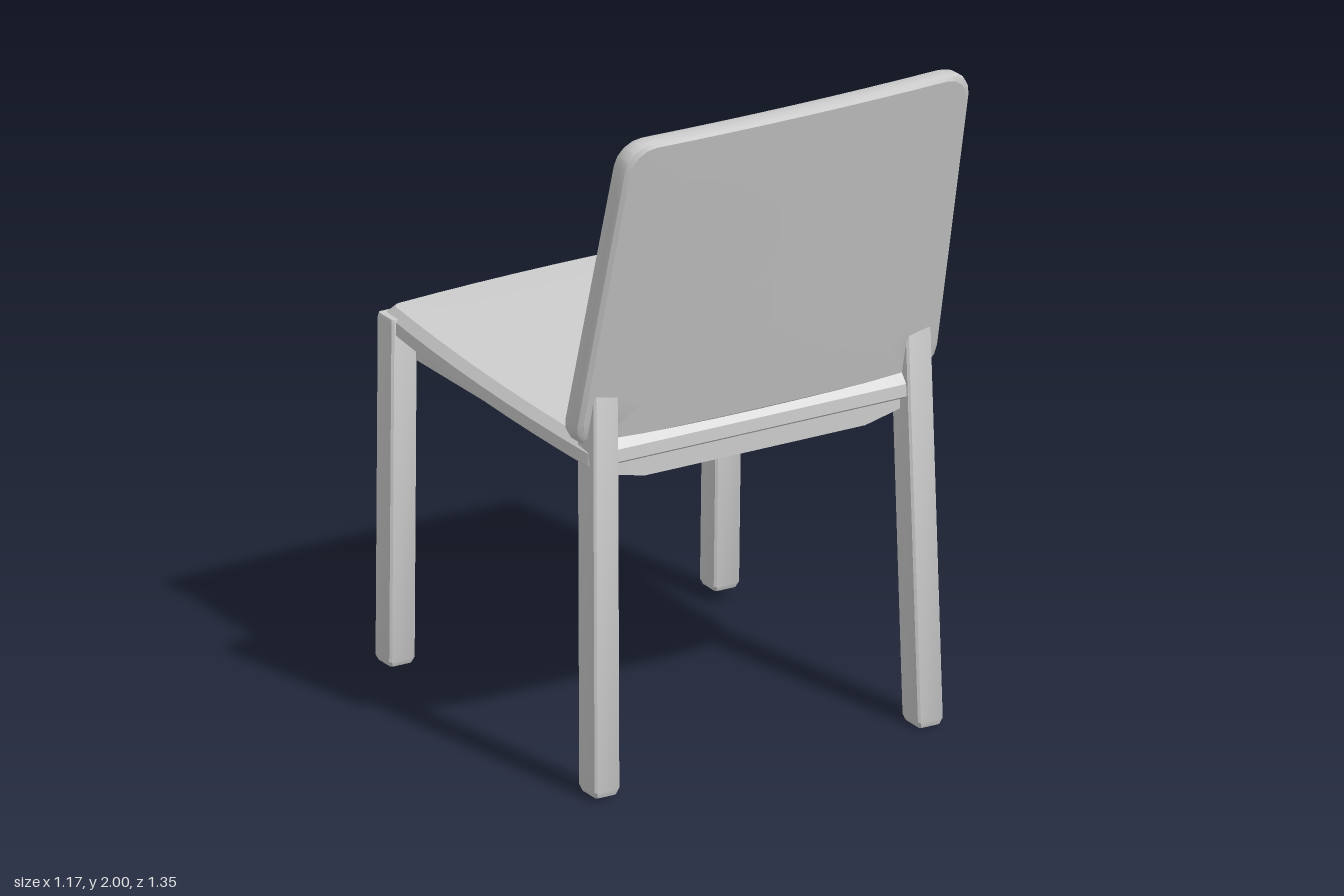
import * as THREE from 'three';
import { toCreasedNormals } from 'three/addons/utils/BufferGeometryUtils.js';

const material = new THREE.MeshStandardMaterial({ color: 0xcccccc });

// Counter-clockwise rounded rectangle with extra points along each side.
function outline(hw, hh, r, arc = 4, side = 8) {
  const points = [];
  const corners = [[1, 1], [-1, 1], [-1, -1], [1, -1]];
  corners.forEach(([sx, sy], c) => {
    for (let i = 0; i <= arc; i++) {
      const t = (c + i / arc) * Math.PI / 2;
      points.push([sx * (hw - r) + r * Math.cos(t), sy * (hh - r) + r * Math.sin(t)]);
    }
    const [ex, ey] = points[points.length - 1];
    const [nx, ny] = corners[(c + 1) % 4];
    const t = (c + 1) * Math.PI / 2;
    const bx = nx * (hw - r) + r * Math.cos(t), by = ny * (hh - r) + r * Math.sin(t);
    for (let i = 1; i < side; i++) {
      points.push([ex + (bx - ex) * i / side, ey + (by - ey) * i / side]);
    }
  });
  return points;
}

// Closed solid from scaled copies of an outline: rings are [scale, height],
// listed from the bottom centre to the top centre, placed by warp(a, b, h).
function ringSolid(name, points, rings, warp, crease = 0.45) {
  const n = points.length, positions = [], index = [];
  for (const [s, h] of rings) {
    for (const [a, b] of points) positions.push(...warp(a * s, b * s, h));
  }
  for (let k = 0; k < rings.length - 1; k++) {
    for (let i = 0; i < n; i++) {
      const a = k * n + i, b = k * n + (i + 1) % n, c = b + n, d = a + n;
      if (rings[k][0] > 0) index.push(a, b, c);
      if (rings[k + 1][0] > 0) index.push(a, c, d);
    }
  }
  const geometry = new THREE.BufferGeometry();
  geometry.setAttribute('position', new THREE.Float32BufferAttribute(positions, 3));
  geometry.setIndex(index);
  const mesh = new THREE.Mesh(toCreasedNormals(geometry, crease), material);
  mesh.name = name;
  return mesh;
}

// Leaning square leg with softened edges, from bottom to top centre.
function leg(name, width, depth, bottom, top) {
  const rings = [[0, 0], [0.84, 0], [1, 0.015], [1, 0.99], [0.94, 1], [0, 1]];
  return ringSolid(name, outline(width / 2, depth / 2, 0.006, 1, 1), rings, (a, b, t) => [
    a + bottom[0] + (top[0] - bottom[0]) * t,
    bottom[1] + (top[1] - bottom[1]) * t,
    -b + bottom[2] + (top[2] - bottom[2]) * t,
  ]);
}

// Height of the seat's underside, rising gently towards -z
const seatUnderside = (z) => 0.97 + (0.45 - z) * 0.047;

export function createModel() {
  const chair = new THREE.Group();
  chair.name = 'chair';

  // Seat pad: bowed sides and front
  const seatRings = [[0, 0], [0.5, 0], [0.99, 0], [1, 0.006], [0.997, 0.042],
    [0.957, 0.068], [0.7, 0.07], [0.35, 0.07], [0, 0.07]];
  chair.add(ringSolid('seat', outline(0.55, 0.55, 0.02), seatRings, (a, b, h) => {
    const x = a * (1 + 0.04 * (1 - (b / 0.55) ** 2));
    const bow = 0.022 * (1 - (a / 0.55) ** 2) * Math.max(0, b / 0.55);
    const z = -b - 0.1 - bow;
    return [x, seatUnderside(z) + h, z];
  }));

  // Apron between the legs: bowed towards -z, underside swept up at the sides
  const apronRings = [[0, 0], [0.4, 0], [0.7, 0], [0.85, 0], [1, 0], [1, 1], [0, 1]];
  chair.add(ringSolid('apron', outline(0.49, 0.51, 0.015, 2), apronRings, (a, b, t) => {
    const z = -b - 0.095 - 0.025 * (1 - (a / 0.49) ** 2) * Math.max(0, b / 0.51);
    const sweep = Math.max(0, (Math.abs(a) - 0.35) / 0.14);
    const bottom = 0.902 + 0.035 * sweep ** 2;
    return [a, bottom + (seatUnderside(z) + 0.02 - bottom) * t, z];
  }));

  // Backrest: tapered, curved across and leaning back
  const backRings = [[0, 0], [0.4, 0], [0.75, 0], [0.97, 0.002], [0.992, 0.012], [1, 0.03],
    [1, 0.06], [0.992, 0.076], [0.97, 0.084], [0.75, 0.085], [0.4, 0.085], [0, 0.085]];
  chair.add(ringSolid('backrest', outline(0.57, 0.488, 0.075), backRings, (a, b, h) => {
    const t = (b + 0.488) / 0.976;
    const x = a * (1.03 - 0.055 * t);
    const curve = 0.018 * (1 - (a / 0.57) ** 2);
    return [x, 1.02 + 0.976 * t, 0.331 + 0.254 * t + curve + h * (1 - 0.08 * t)];
  }));

  // Legs: the +z pair runs up through the foot of the backrest
  for (const side of [-1, 1]) {
    const label = side > 0 ? 'left' : 'right';
    const [postTop, postZ] = side > 0 ? [1.18, 0.409] : [1.24, 0.412];
    chair.add(leg(label + 'BackrestLeg', 0.08, 0.093,
      [side * 0.522, side > 0 ? 0 : 0.01, 0.447], [side * 0.505, postTop, postZ]));
    const x = side > 0 ? 0.528 : -0.525;
    chair.add(leg(label + 'SeatFrontLeg', 0.082, 0.084,
      [x, 0.035, side > 0 ? -0.632 : -0.622], [x, 1.068, -0.61]));
  }
  return chair;
}
